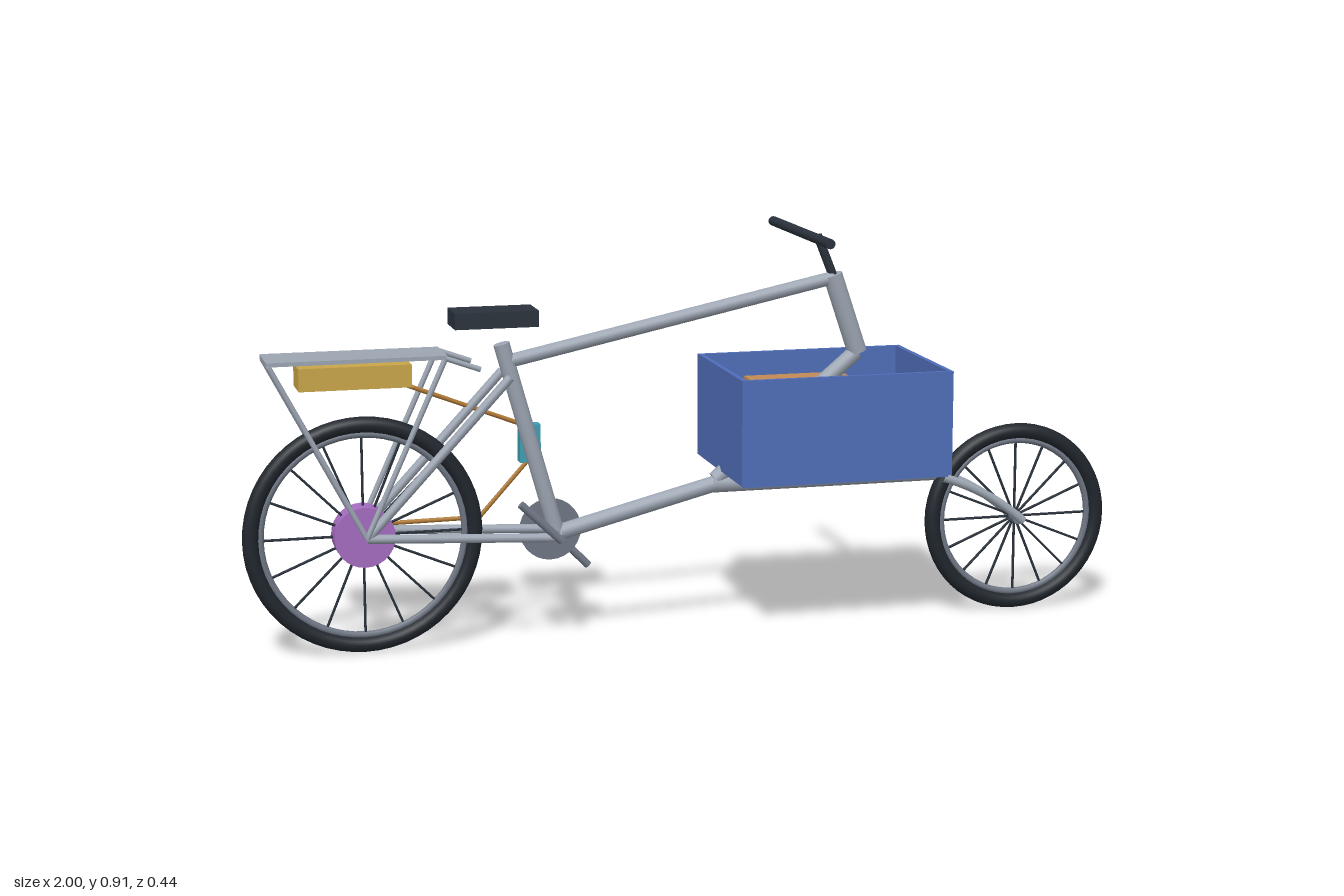
import * as THREE from 'three';

const mat = (name, color) => {
  const m = new THREE.MeshStandardMaterial({ color });
  m.name = name;
  return m;
};

export function createModel() {
  const bike = new THREE.Group();
  bike.name = 'cargoBike';

  const frame = mat('frameGrey', 0x9ca5b2);
  const steel = mat('steelGrey', 0x6f7784);
  const rubber = mat('tyreBlack', 0x20262d);
  const dark = mat('darkTrim', 0x2a323c);
  const blue = mat('boxBlue', 0x4f6db8);
  const brown = mat('cargoBrown', 0xc08a55);
  const purple = mat('motorPurple', 0xa56cc1);
  const yellow = mat('batteryYellow', 0xc8a548);
  const teal = mat('controllerTeal', 0x3f9fb5);
  const copper = mat('cableCopper', 0xb07a35);

  const add = (name, geometry, material, parent = bike) => {
    const mesh = new THREE.Mesh(geometry, material);
    mesh.name = name;
    parent.add(mesh);
    return mesh;
  };

  // Straight round bar between two points
  const bar = (name, a, b, r, material, parent = bike, sides = 14) => {
    const p = new THREE.Vector3(...a), q = new THREE.Vector3(...b);
    const dir = q.clone().sub(p);
    const mesh = add(name, new THREE.CylinderGeometry(r, r, dir.length(), sides), material, parent);
    mesh.position.copy(p).add(q).multiplyScalar(0.5);
    mesh.quaternion.setFromUnitVectors(new THREE.Vector3(0, 1, 0), dir.normalize());
    return mesh;
  };

  // Box given by its minimum and maximum corners
  const block = (name, lo, hi, material, parent = bike) => {
    const mesh = add(name, new THREE.BoxGeometry(hi[0] - lo[0], hi[1] - lo[1], hi[2] - lo[2]), material, parent);
    mesh.position.set((lo[0] + hi[0]) / 2, (lo[1] + hi[1]) / 2, (lo[2] + hi[2]) / 2);
    return mesh;
  };

  // Wheel: tyre, rim, spokes and hub
  const wheel = (name, x, R, hubR, hubHalf, hubMat) => {
    const g = new THREE.Group();
    g.name = name;
    g.position.set(x, R, 0);
    bike.add(g);
    add('tyre', new THREE.TorusGeometry(R - 0.018, 0.018, 12, 56), rubber, g);
    add('rim', new THREE.TorusGeometry(R - 0.039, 0.008, 8, 56), steel, g);
    const n = 16;
    for (let i = 0; i < n; i++) {
      const a = (i / n) * Math.PI * 2;
      const c = Math.cos(a), s = Math.sin(a);
      bar('spoke', [0, 0, 0], [c * (R - 0.036), s * (R - 0.036), 0], 0.003, dark, g, 6);
    }
    bar('hub', [0, 0, -hubHalf], [0, 0, hubHalf], hubR, hubMat, g, 28);
  };
  wheel('rearWheel', -0.737, 0.264, 0.067, 0.028, purple);
  wheel('frontWheel', 0.781, 0.219, 0.014, 0.03, steel);

  // Main frame tubes
  bar('seatTube', [-0.305, 0.243, 0], [-0.425, 0.675, 0], 0.018, frame);
  bar('topTube', [-0.41, 0.635, 0], [0.335, 0.793, 0], 0.015, frame);
  bar('headTube', [0.333, 0.8, 0], [0.393, 0.622, 0], 0.022, frame);
  bar('downTube', [0.39, 0.622, 0], [0.06, 0.345, 0], 0.018, frame);
  bar('lowerTube', [-0.305, 0.243, 0], [0.07, 0.338, 0], 0.018, frame);
  bar('cargoTube', [0.055, 0.335, 0], [0.583, 0.335, 0], 0.02, frame);

  // Steering
  bar('stem', [0.335, 0.795, 0], [0.297, 0.89, 0], 0.01, dark);
  bar('handlebar', [0.258, 0.898, -0.218], [0.258, 0.898, 0.218], 0.011, dark);

  // Paired stays, fork legs and rack struts
  for (const s of [1, -1]) {
    const z = 0.047 * s, rz = 0.058 * s;
    bar('seatStay', [-0.415, 0.607, z], [-0.735, 0.265, z], 0.01, frame);
    bar('chainStay', [-0.305, 0.243, z], [-0.735, 0.265, z], 0.01, frame);
    const fork = new THREE.QuadraticBezierCurve3(
      new THREE.Vector3(0.588, 0.33, z), new THREE.Vector3(0.7, 0.293, z), new THREE.Vector3(0.781, 0.22, z));
    add('forkLeg', new THREE.TubeGeometry(fork, 10, 0.01, 12), frame);
    bar('forkEnd', [0.785, 0.217, z], [0.778, 0.223, z], 0.01, frame);
    bar('rackStrutRear', [-0.94, 0.655, rz], [-0.737, 0.268, rz], 0.006, frame);
    bar('rackStrutFront', [-0.56, 0.655, rz], [-0.737, 0.268, rz], 0.006, frame);
    bar('rackArm', [-0.56, 0.658, rz], [-0.483, 0.63, rz], 0.006, frame);
  }

  // Rack, battery and saddle
  block('rackPlate', [-0.945, 0.655, -0.062], [-0.555, 0.664, 0.062], frame);
  block('battery', [-0.875, 0.595, -0.043], [-0.63, 0.645, 0.043], yellow);
  block('saddle', [-0.535, 0.716, -0.046], [-0.35, 0.752, 0.046], dark);

  // Drive: chainring, axle and opposite cranks
  bar('chainring', [-0.308, 0.24, -0.06], [-0.308, 0.24, -0.052], 0.07, steel, bike, 28);
  bar('crankAxle', [-0.308, 0.24, -0.07], [-0.308, 0.24, 0.07], 0.01, steel);
  bar('leftCrank', [-0.308, 0.24, 0.07], [-0.4, 0.328, 0.07], 0.009, steel);
  bar('rightCrank', [-0.308, 0.24, -0.07], [-0.218, 0.148, -0.07], 0.009, steel);

  // Controller and cables
  block('controller', [-0.38, 0.4, -0.058], [-0.333, 0.485, -0.03], teal);
  const cz = -0.05;
  bar('batteryCable', [-0.66, 0.597, -0.04], [-0.375, 0.485, cz], 0.005, copper, bike, 8);
  const motorCable = [[-0.355, 0.405, cz], [-0.47, 0.278, cz], [-0.735, 0.275, cz]];
  for (let i = 0; i < 2; i++) bar('motorCable', motorCable[i], motorCable[i + 1], 0.005, copper, bike, 8);

  // Open cargo box with a parcel inside
  const box = new THREE.Group();
  box.name = 'cargoBox';
  bike.add(box);
  block('boxFloor', [0.076, 0.361, -0.18], [0.55, 0.371, 0.18], blue, box);
  for (const s of [1, -1]) {
    const z0 = s > 0 ? 0.176 : -0.187, x0 = s > 0 ? 0.546 : 0.07;
    block('boxSide', [0.07, 0.366, z0], [0.557, 0.601, z0 + 0.011], blue, box);
    block('boxEnd', [x0, 0.366, -0.176], [x0 + 0.011, 0.601, 0.176], blue, box);
  }
  block('parcel', [0.16, 0.371, -0.117], [0.393, 0.557, 0.085], brown, box);

  return bike;
}
